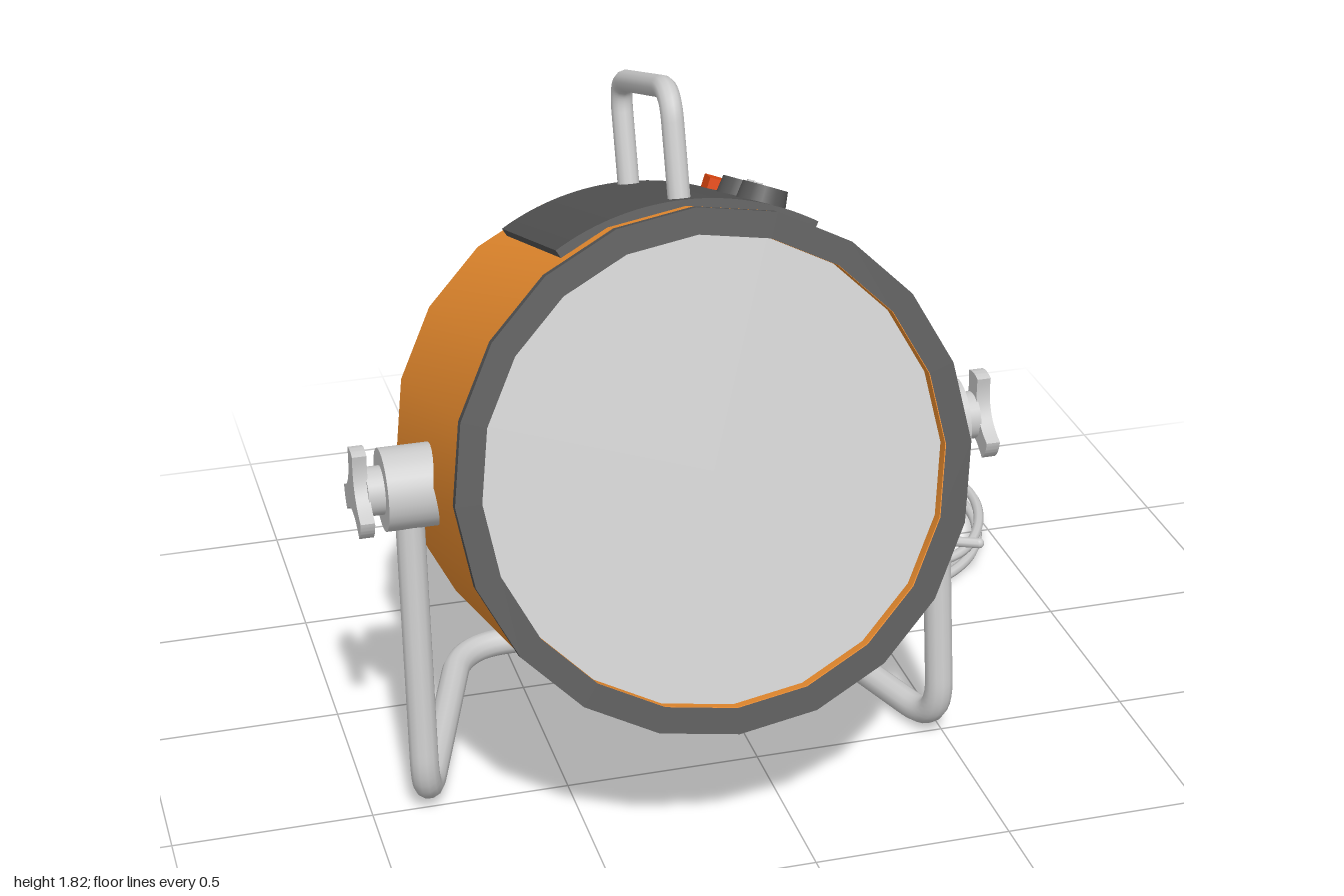
import * as THREE from 'three';
import { toCreasedNormals } from 'three/addons/utils/BufferGeometryUtils.js';

const mat = (color, side = THREE.FrontSide) => new THREE.MeshStandardMaterial({ color, side });
const grey = mat(0xcccccc);
const orange = mat(0xf09030, THREE.DoubleSide);
const dark = mat(0x555555, THREE.DoubleSide);
const red = mat(0xe04810);
const V = (x, y, z) => new THREE.Vector3(x, y, z);

function add(parent, name, geometry, material, x = 0, y = 0, z = 0) {
  const mesh = new THREE.Mesh(geometry, material);
  mesh.name = name;
  mesh.position.set(x, y, z);
  parent.add(mesh);
  return mesh;
}

// Tube along straight runs joined by rounded corners
function bentTube(points, fillet, radius, segments) {
  const path = new THREE.CurvePath();
  let start = points[0];
  for (let i = 1; i < points.length - 1; i++) {
    const p = points[i];
    const a = p.clone().add(points[i - 1].clone().sub(p).setLength(fillet));
    const b = p.clone().add(points[i + 1].clone().sub(p).setLength(fillet));
    path.add(new THREE.LineCurve3(start, a));
    path.add(new THREE.QuadraticBezierCurve3(a, p, b));
    start = b;
  }
  path.add(new THREE.LineCurve3(start, points[points.length - 1]));
  return new THREE.TubeGeometry(path, segments, radius, 12);
}

// Twenty-sided turned part with its axis along z
function turned(profile) {
  const points = profile.map(([r, h]) => new THREE.Vector2(r, h));
  return toCreasedNormals(new THREE.LatheGeometry(points, 20).rotateX(Math.PI / 2), 0.6);
}

function makeHead() {
  const head = new THREE.Group();
  head.name = 'heaterHead';

  // Drum shell with a recessed lip at each end, dark front rim and end discs
  add(head, 'drumShell', turned([
    [0.565, -0.36], [0.565, -0.405], [0.625, -0.405],
    [0.625, 0.4], [0.565, 0.4], [0.565, 0.35],
  ]), orange);
  add(head, 'frontRim', turned([[0.629, 0.378], [0.629, 0.406], [0.565, 0.406]]), dark);
  for (const [name, z] of [['frontGrille', 0.355], ['backGrille', -0.365]]) {
    add(head, name, new THREE.CylinderGeometry(0.567, 0.567, 0.02, 20).rotateX(Math.PI / 2), grey, 0, 0, z);
  }

  // Curved control panel on top
  const arc = new THREE.Shape();
  arc.absarc(0, 0, 0.64, Math.PI / 3, 2 * Math.PI / 3, false);
  arc.absarc(0, 0, 0.58, 2 * Math.PI / 3, Math.PI / 3, true);
  arc.closePath();
  const panel = new THREE.ExtrudeGeometry(arc, { depth: 0.62, bevelEnabled: false, curveSegments: 16 });
  add(head, 'controlPanel', toCreasedNormals(panel.translate(0, 0, -0.31), 0.5), dark);

  // Knobs and switch stand radially on the panel
  const controls = new THREE.Group();
  controls.name = 'controls';
  controls.rotation.z = -0.365;
  head.add(controls);
  for (const [z, turn] of [[0.147, 3.3], [-0.032, -0.9]]) {
    add(controls, 'dial', new THREE.CylinderGeometry(0.056, 0.062, 0.045, 24), dark, 0, 0.658, z);
    add(controls, 'dialMark', new THREE.CylinderGeometry(0.009, 0.009, 0.006, 10), grey,
      0.042 * Math.cos(turn), 0.682, z - 0.042 * Math.sin(turn));
  }
  const rocker = add(controls, 'switch', new THREE.BoxGeometry(0.09, 0.04, 0.06), red, 0, 0.65, -0.218);
  rocker.rotation.x = 0.12;

  // Carrying handle
  add(head, 'handle', bentTube([
    V(0, 0.6, 0.25), V(0, 0.9, 0.25), V(0, 0.9, -0.25), V(0, 0.6, -0.25),
  ], 0.08, 0.028, 90), grey);

  // Cable gland under the drum
  add(head, 'glandCollar', new THREE.CylinderGeometry(0.05, 0.05, 0.04, 20), grey, 0.08, -0.625, -0.315);
  add(head, 'glandSleeve', new THREE.CylinderGeometry(0.032, 0.02, 0.07, 20), grey, 0.08, -0.675, -0.315);
  return head;
}

// Three-lobed clamping knob, extruded along x
function starGeometry() {
  const shape = new THREE.Shape();
  const at = (r, a) => [r * Math.cos(a), r * Math.sin(a)];
  const step = 2 * Math.PI / 3;
  shape.moveTo(...at(0.115, Math.PI / 2 - 0.27));
  for (let i = 0; i < 3; i++) {
    const a = Math.PI / 2 + i * step;
    shape.quadraticCurveTo(...at(0.123, a), ...at(0.115, a + 0.27));
    shape.quadraticCurveTo(...at(0.015, a + step / 2), ...at(0.115, a + step - 0.27));
  }
  const geo = new THREE.ExtrudeGeometry(shape, { depth: 0.035, bevelEnabled: false, curveSegments: 10 });
  return toCreasedNormals(geo.translate(0, 0, -0.0175).rotateY(Math.PI / 2), 0.5);
}

function makeStand() {
  const stand = new THREE.Group();
  stand.name = 'stand';

  // Bent floor yoke
  const half = (s) => [V(s * 0.671, 0.82, 0.448), V(s * 0.675, 0.04, 0.54), V(s * 0.435, 0.04, -0.185)];
  add(stand, 'yoke', bentTube([...half(-1), ...half(1).reverse()], 0.13, 0.036, 200), grey);

  // Pivot hubs with clamping knobs, mirrored
  const axle = (r, length) => new THREE.CylinderGeometry(r, r, length, 28).rotateZ(Math.PI / 2);
  for (const s of [-1, 1]) {
    add(stand, 'pivotHub', axle(0.102, 0.145), grey, s * 0.662, 0.87, 0.435);
    add(stand, 'knobShaft', axle(0.06, 0.05), grey, s * 0.75, 0.87, 0.435);
    add(stand, 'clampKnob', starGeometry(), grey, s * 0.789, 0.87, 0.435);
  }
  return stand;
}

// Power cord, coiled twice on the floor
function makeCord() {
  const cord = new THREE.Group();
  cord.name = 'powerCord';
  const path = [
    [-0.113, 0.15, 0.325], [-0.1, 0.06, 0.31], [-0.06, 0.045, 0.2], [0.02, 0.125, -0.03],
    [0.07, 0.125, -0.17], [0.16, 0.085, -0.285], [0.3, 0.04, -0.285], [0.5, 0.016, -0.24],
    [0.72, 0.015, -0.22], [0.9, 0.015, -0.36], [0.978, 0.015, -0.6], [0.92, 0.015, -0.8],
    [0.74, 0.015, -0.925], [0.55, 0.015, -0.96], [0.38, 0.02, -0.88], [0.26, 0.03, -0.72],
    [0.23, 0.045, -0.55], [0.29, 0.055, -0.36], [0.44, 0.065, -0.245], [0.65, 0.07, -0.215],
    [0.83, 0.07, -0.27], [0.95, 0.07, -0.45], [0.975, 0.07, -0.65], [0.87, 0.07, -0.84],
    [0.66, 0.07, -0.95], [0.43, 0.075, -0.985], [0.25, 0.085, -0.91], [0.175, 0.095, -0.74],
    [0.23, 0.105, -0.58], [0.42, 0.115, -0.44], [0.65, 0.12, -0.32], [0.865, 0.12, -0.22],
  ].map((p) => V(...p));
  const curve = new THREE.CatmullRomCurve3(path);
  add(cord, 'cable', new THREE.TubeGeometry(curve, 260, 0.0145, 8), grey);
  const end = path[path.length - 1];
  add(cord, 'cableEnd', new THREE.SphereGeometry(0.0145, 10, 8), grey, end.x, end.y, end.z);
  return cord;
}

export function createModel() {
  const model = new THREE.Group();
  model.name = 'portableHeater';

  const head = makeHead();
  head.position.set(-0.195, 0.874, 0.4225);
  head.rotation.x = -0.304;

  const stand = makeStand();
  stand.position.x = -0.195;

  model.add(head, stand, makeCord());
  return model;
}
